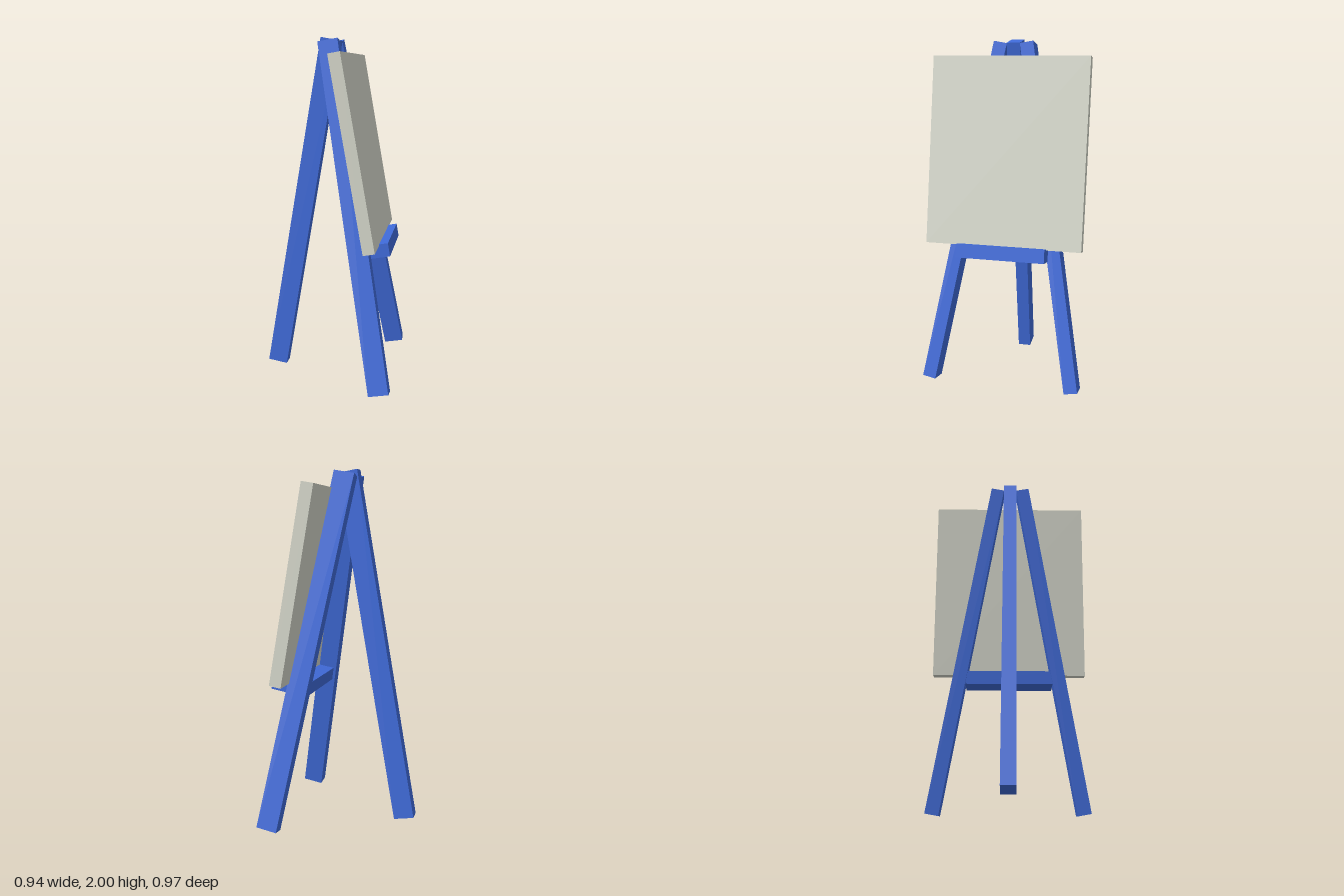
import * as THREE from 'three';

const TILT = THREE.MathUtils.degToRad(10);

export function createModel() {
  const model = new THREE.Group();
  model.name = 'easel';

  const wood = new THREE.MeshStandardMaterial({ color: 0x3f6ad8 });
  const canvas = new THREE.MeshStandardMaterial({ color: 0xd3d5c9 });

  // The easel is built facing +z, then turned on its feet
  const easel = new THREE.Group();
  easel.name = 'easelFrame';
  easel.position.set(0.024, 0, -0.052);
  easel.rotation.y = THREE.MathUtils.degToRad(65);
  model.add(easel);

  const addBox = (name, material, size, position, tiltX, tiltZ = 0) => {
    const mesh = new THREE.Mesh(new THREE.BoxGeometry(...size), material);
    mesh.name = name;
    mesh.position.set(...position);
    mesh.rotation.set(tiltX, 0, tiltZ);
    easel.add(mesh);
  };

  // Three equal legs: two splayed at the front, one leaning in from behind
  const legSize = [0.078, 2.01, 0.116];
  for (const [name, side] of [['frontLegLeft', 1], ['frontLegRight', -1]]) {
    addBox(name, wood, legSize, [side * 0.251, 1, 0.049], -TILT, side * TILT);
  }
  addBox('backLeg', wood, legSize, [0, 1, -0.295], TILT);

  // Ledge between the front legs, with the board resting on it
  addBox('ledge', wood, [0.515, 0.077, 0.21], [0, 0.804, 0.147], -TILT);
  addBox('board', canvas, [0.909, 1.08, 0.067], [0, 1.371, 0.068], -TILT);

  return model;
}
